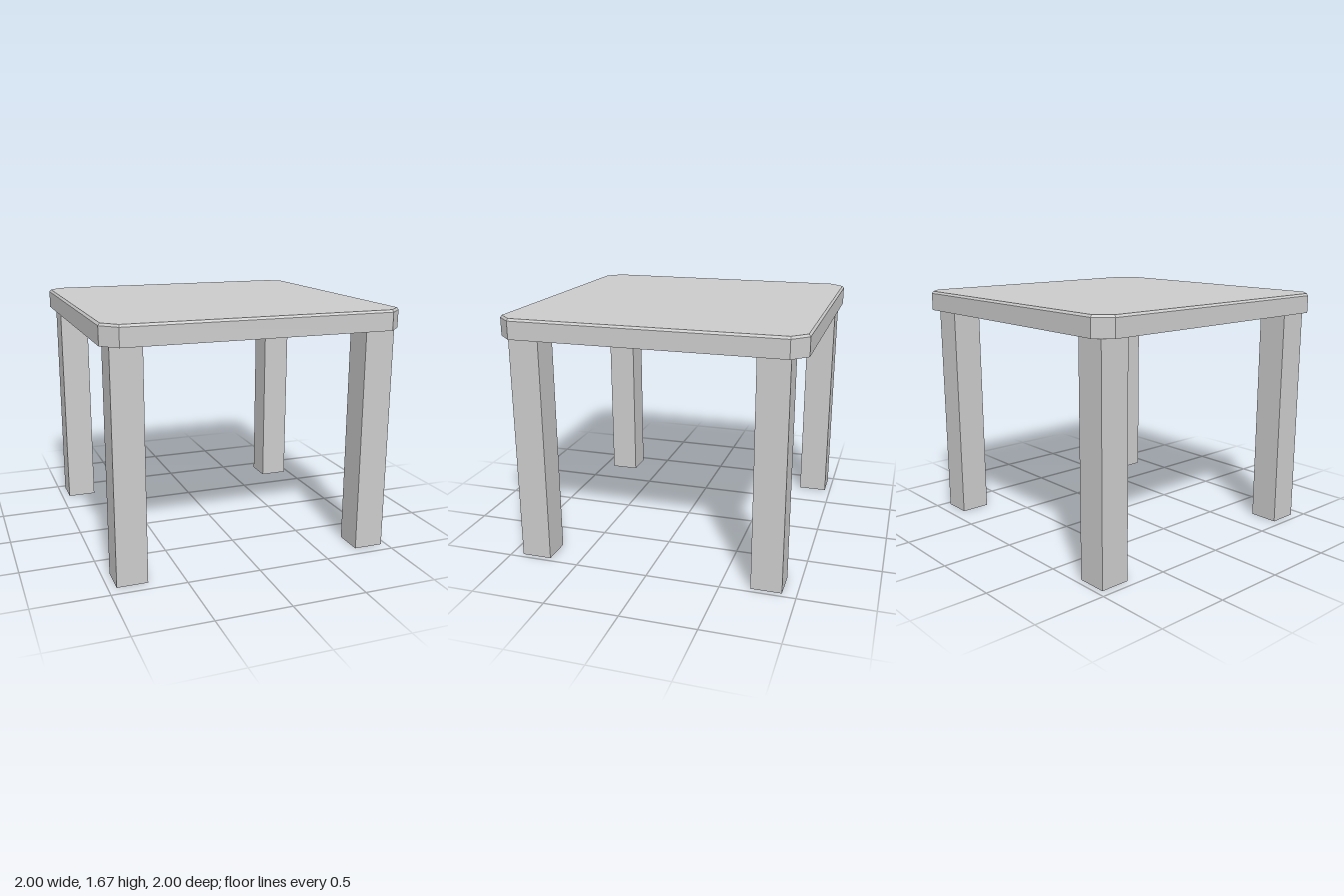
import * as THREE from 'three';
import { ConvexGeometry } from 'three/addons/geometries/ConvexGeometry.js';

const UNDERSIDE = 1.54;
const LEG_WIDTH = 0.205;

// Square outline with cut corners, as points at one height
function octagon(half, cut, y) {
  const points = [];
  for (const sx of [-1, 1]) {
    for (const sz of [-1, 1]) {
      points.push(new THREE.Vector3(sx * half, y, sz * cut));
      points.push(new THREE.Vector3(sx * cut, y, sz * half));
    }
  }
  return points;
}

export function createModel() {
  const table = new THREE.Group();
  table.name = 'table';
  const material = new THREE.MeshStandardMaterial({ color: 0xcccccc, flatShading: true });

  // Tabletop slab with cut corners and a small bevel along the upper edge
  const slab = new ConvexGeometry([
    ...octagon(1, 0.9, UNDERSIDE),
    ...octagon(1, 0.9, 1.66),
    ...octagon(0.988, 0.897, 1.675),
  ]);
  const tabletop = new THREE.Mesh(slab, material);
  tabletop.name = 'tabletop';
  table.add(tabletop);

  // Four square legs, set slightly unevenly under the top
  const legGeometry = new THREE.BoxGeometry(LEG_WIDTH, UNDERSIDE, LEG_WIDTH);
  const legs = [
    ['frontLeftLeg', 0.862, 0.815],
    ['frontRightLeg', -0.842, 0.815],
    ['backLeftLeg', 0.862, -0.802],
    ['backRightLeg', -0.842, -0.857],
  ];
  for (const [name, x, z] of legs) {
    const leg = new THREE.Mesh(legGeometry, material);
    leg.name = name;
    leg.position.set(x, UNDERSIDE / 2, z);
    table.add(leg);
  }
  return table;
}
